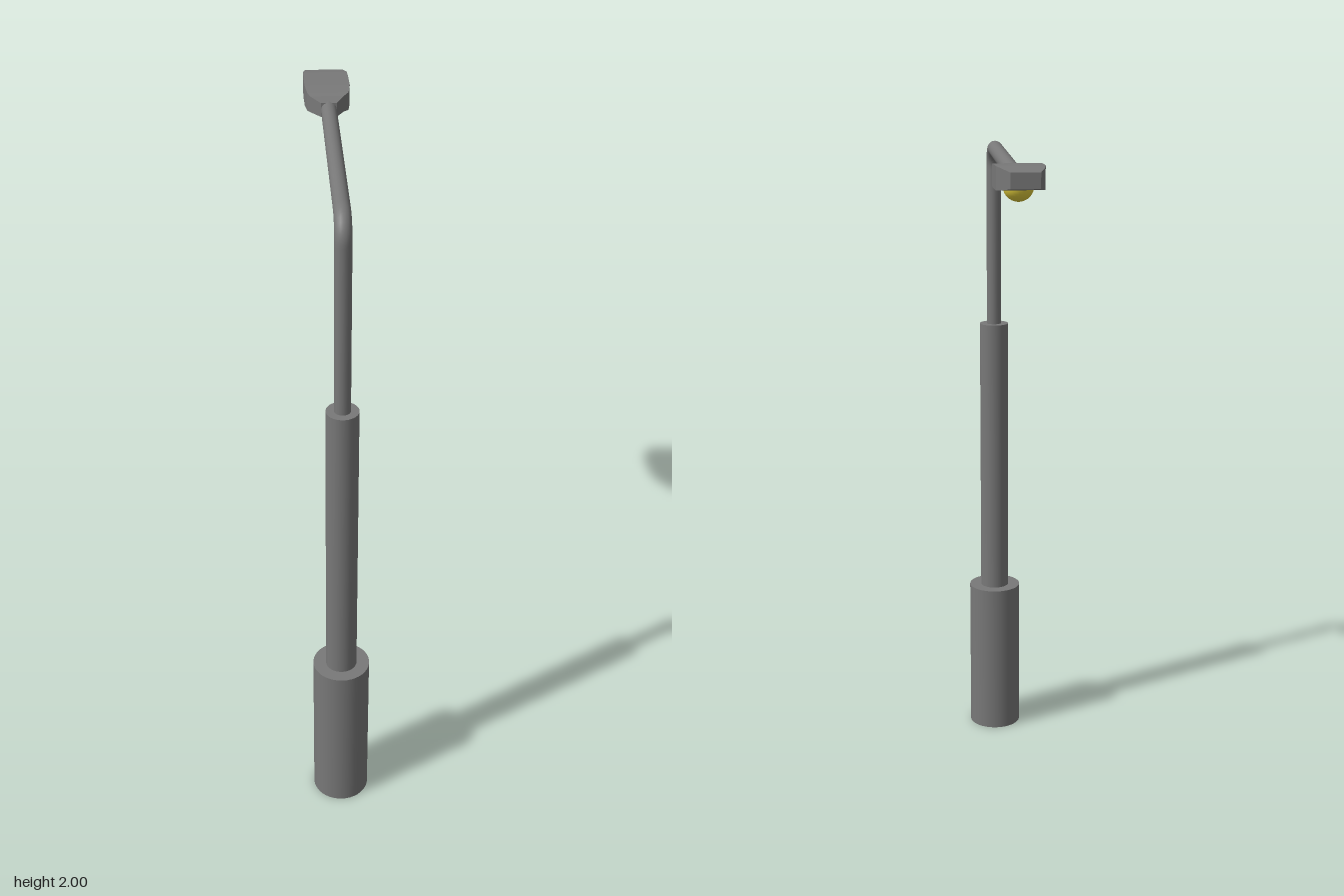
import * as THREE from 'three';

const V = (x, y, z) => new THREE.Vector3(x, y, z);

function createModel() {
  const lamp = new THREE.Group();
  lamp.name = 'streetLamp';
  const grey = new THREE.MeshStandardMaterial({ color: 0x787878 });
  const greyFlat = new THREE.MeshStandardMaterial({ color: 0x787878, flatShading: true });
  const yellow = new THREE.MeshStandardMaterial({ color: 0xe0cc3c, side: THREE.DoubleSide });

  const add = (name, geometry, material) => {
    const mesh = new THREE.Mesh(geometry, material);
    mesh.name = name;
    lamp.add(mesh);
    return mesh;
  };

  // Stepped post
  const post = (name, radius, y0, y1) => {
    add(name, new THREE.CylinderGeometry(radius, radius, y1 - y0, 40), grey).position.y = (y0 + y1) / 2;
  };
  post('base', 0.084, 0, 0.503);
  post('lowerPost', 0.046, 0.503, 1.407);

  // Thin pole bending into the long arm, which runs along -z and drops slightly
  const path = new THREE.CurvePath();
  const bendStart = V(0, 1.91, 0), bendEnd = V(0, 1.973, -0.065);
  path.add(new THREE.LineCurve3(V(0, 1.4, 0), bendStart));
  path.add(new THREE.CubicBezierCurve3(bendStart, V(0, 1.947, 0), V(0, 1.973, -0.028), bendEnd));
  path.add(new THREE.LineCurve3(bendEnd, V(0, 1.963, -0.74)));
  add('poleAndArm', new THREE.TubeGeometry(path, 120, 0.023, 20), grey);

  // Lamp head: a box whose cross-sections follow stations
  // [distance along arm, left x, right x, bottom y, top y]
  const stations = [
    [0.726, -0.023, 0.023, 1.943, 1.985],
    [0.770, -0.052, 0.046, 1.940, 1.988],
    [0.785, -0.060, 0.060, 1.938, 1.993],
    [0.830, -0.066, 0.066, 1.937, 1.998],
    [0.880, -0.067, 0.065, 1.937, 2.0],
    [0.925, -0.067, 0.063, 1.937, 2.0],
    [0.950, -0.063, 0.053, 1.940, 1.997],
    [0.976, -0.050, 0.030, 1.945, 1.988],
  ];
  const n = stations.length - 1;
  const head = new THREE.BoxGeometry(1, 1, 1, 1, 1, n);
  const p = head.attributes.position;
  for (let i = 0; i < p.count; i++) {
    const [u, left, right, bottom, top] = stations[Math.round((0.5 - p.getZ(i)) * n)];
    p.setXYZ(i, p.getX(i) < 0 ? left : right, p.getY(i) < 0 ? bottom : top, -u);
  }
  head.computeVertexNormals();
  add('lampHead', head, greyFlat);

  // Domed bulb under the head
  const bulb = new THREE.SphereGeometry(0.042, 24, 10, 0, Math.PI * 2, Math.PI / 2, Math.PI / 2);
  add('bulb', bulb, yellow).position.set(0, 1.944, -0.878);

  // The lamp stands off-centre with its arm turned slightly
  lamp.position.set(-0.048, 0, 0.444);
  lamp.rotation.y = -0.128;

  const model = new THREE.Group();
  model.name = 'model';
  model.add(lamp);
  return model;
}

export { createModel };
